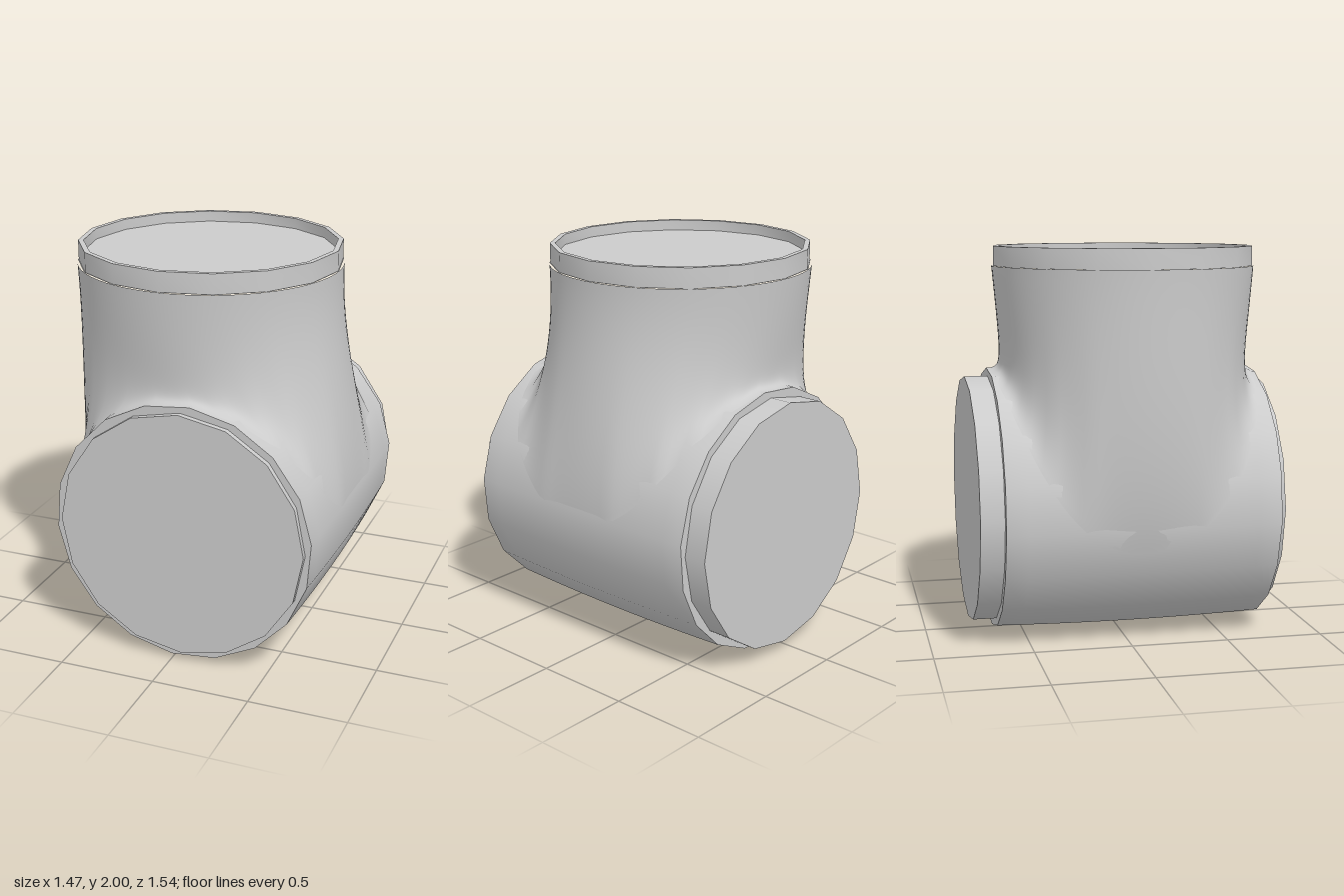
import * as THREE from 'three';
import { toCreasedNormals } from 'three/addons/utils/BufferGeometryUtils.js';

const SIDES = 16;
const PIPE = { x: 0.048, y: 0.69, back: -0.65, front: 0.74, sides: 18, twist: 0.08 };
const NECK = { x: -0.065, z: 0.04, r: 0.672, top: 1.9 };

// radius of the many-sided pipe section (corner radius 1) at a given angle
function polygon(angle) {
  const step = (Math.PI * 2) / PIPE.sides;
  const a = ((angle % step) + step) % step;
  return Math.cos(step / 2) / Math.cos(a - step / 2);
}

// closed rings of points, joined row by row with smooth normals
function loft(rows, cols, pointAt) {
  const pos = [], index = [];
  for (let i = 0; i <= rows; i++) {
    for (let j = 0; j < cols; j++) {
      pos.push(...pointAt(i / rows, (j / cols) * Math.PI * 2).toArray());
      if (i === rows) continue;
      const a = i * cols + j, b = i * cols + ((j + 1) % cols);
      index.push(a, a + cols, b, b, a + cols, b + cols);
    }
  }
  const geo = new THREE.BufferGeometry();
  geo.setAttribute('position', new THREE.Float32BufferAttribute(pos, 3));
  geo.setIndex(index);
  geo.computeVertexNormals();
  return geo;
}

// point on the slightly bulging main pipe; angle 0 is straight up
function pipePoint(angle, z) {
  const r = (0.675 + 0.015 * (1 - (z / 0.74) ** 2)) * polygon(angle - PIPE.twist);
  return new THREE.Vector3(PIPE.x + r * Math.sin(angle), PIPE.y + r * Math.cos(angle), z);
}

// branch wall sweeping from its top ring down into the main pipe
function branchPoint(t, theta) {
  const c = Math.cos(theta), s = Math.sin(theta);
  const angle = c * (c > 0 ? 1.57 : 1.85);
  const sin = Math.sin(angle), cos = Math.cos(angle);
  const foot = pipePoint(angle, 0.045 + 0.685 * s);
  // follow the pipe's surface away from the foot, lifted slightly off it
  const rise = c * (c > 0 ? 0.36 : 0.45), lift = 0.015;
  const lower = foot.clone().add(
    new THREE.Vector3(-cos * rise + sin * lift, sin * rise + cos * lift, -0.075 * s));
  const waist = new THREE.Vector3(-0.058 + 0.657 * c, 1.4 + 0.1 * c * c, 0.045 + 0.63 * s);
  const top = new THREE.Vector3(NECK.x + NECK.r * c, NECK.top, NECK.z + NECK.r * s);
  return new THREE.CubicBezierCurve3(foot, lower, waist, top).getPoint(t);
}

export function createModel() {
  const model = new THREE.Group();
  const material = new THREE.MeshStandardMaterial({ color: 0xcccccc });
  const add = (name, geometry) => {
    const mesh = new THREE.Mesh(geometry, material);
    mesh.name = name;
    model.add(mesh);
    return mesh;
  };

  // main horizontal pipe
  const zAt = (t) => THREE.MathUtils.lerp(PIPE.back, PIPE.front, t);
  add('mainPipe', loft(12, PIPE.sides, (t, a) => pipePoint(a + PIPE.twist, zAt(t))));

  // flat shoulders closing the ends of the main pipe
  for (const [name, z] of [['frontShoulder', PIPE.front], ['backShoulder', PIPE.back]]) {
    const outline = [];
    for (let i = 0; i < PIPE.sides; i++) {
      const p = pipePoint((i / PIPE.sides) * Math.PI * 2 + PIPE.twist, z);
      outline.push(new THREE.Vector2(z > 0 ? p.x : -p.x, p.y));
    }
    const shoulder = add(name, new THREE.ShapeGeometry(new THREE.Shape(outline)));
    shoulder.position.z = z;
    if (z < 0) shoulder.rotation.y = Math.PI;
  }

  // narrower core showing as a collar at both ends
  const core = new THREE.CylinderGeometry(0.639, 0.639, 1.54, SIDES);
  core.rotateX(Math.PI / 2);
  add('endCollars', core).position.set(0.052, PIPE.y, 0);

  // upright branch with its fillet
  add('branch', loft(32, 96, branchPoint));

  // collar with a recessed lid on top of the branch
  const profile = [[0.672, 1.9], [0.667, 1.9], [0.667, 2], [0.64, 2], [0.64, 1.945], [0, 1.945]];
  const collar = new THREE.LatheGeometry(profile.map(([r, y]) => new THREE.Vector2(r, y)), SIDES);
  add('topCollar', toCreasedNormals(collar, 0.5)).position.set(NECK.x, 0, NECK.z);

  return model;
}
